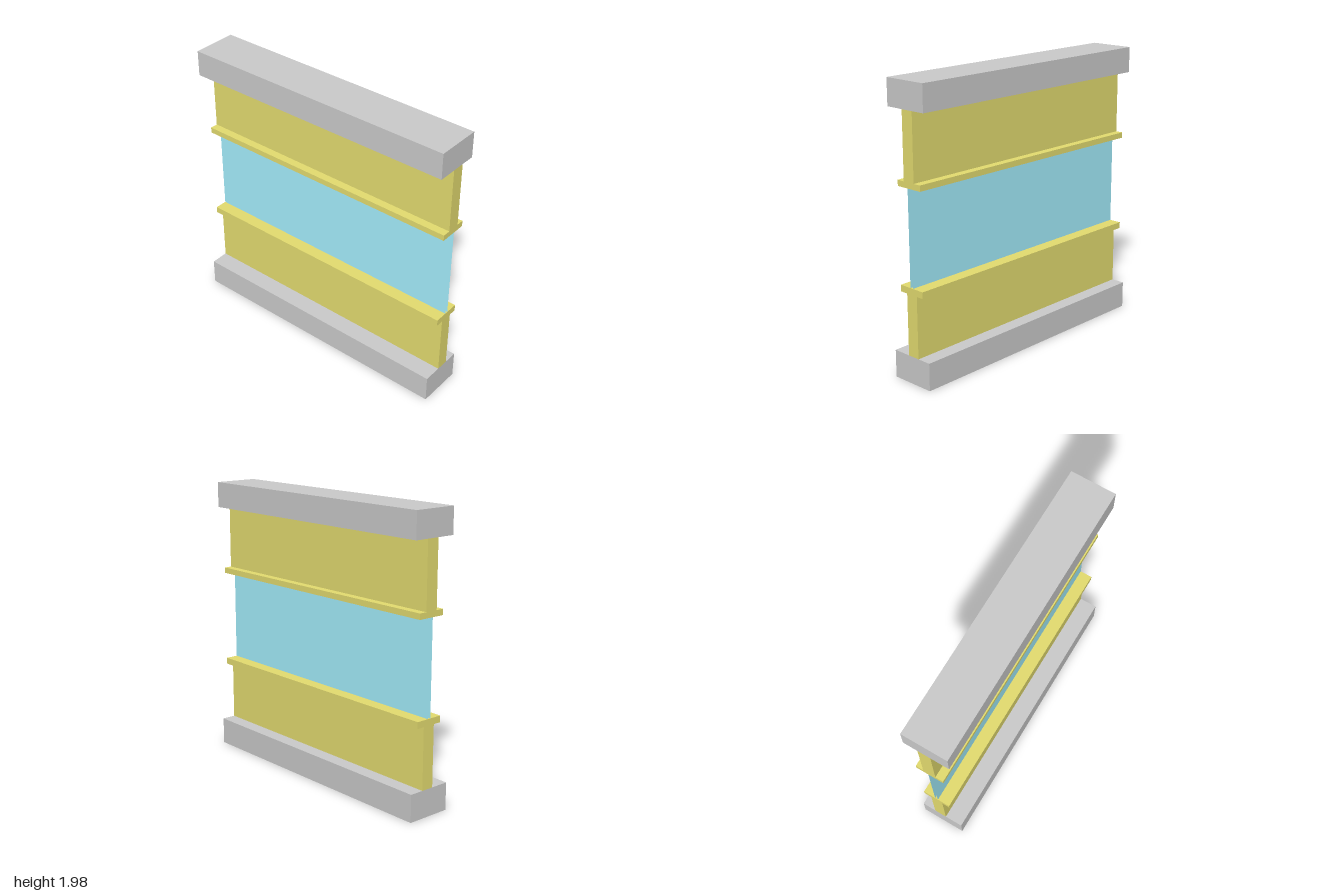
import * as THREE from 'three';

const LENGTH = 2;
const grey = new THREE.MeshStandardMaterial({ color: 0xcccccc });
const yellow = new THREE.MeshStandardMaterial({ color: 0xe5dd70 });
const blue = new THREE.MeshStandardMaterial({ color: 0xa5f0ff, side: THREE.DoubleSide });

// Straight bar along z with the given cross-section (points counter-clockwise)
function bar(name, points, material) {
  const shape = new THREE.Shape(points.map(([x, y]) => new THREE.Vector2(x, y)));
  const geometry = new THREE.ExtrudeGeometry(shape, { depth: LENGTH, bevelEnabled: false });
  geometry.translate(0, 0, -LENGTH / 2);
  const mesh = new THREE.Mesh(geometry, material);
  mesh.name = name;
  return mesh;
}

// Rectangular cross-section
const rect = (x0, x1, y0, y1) => [[x0, y0], [x1, y0], [x1, y1], [x0, y1]];

// T cross-section: web from yEnd to yNeck, flange from yNeck to yTip
const tee = (yEnd, yNeck, yTip) => [
  [-0.03, yEnd], [0.06, yEnd], [0.06, yNeck], [0.115, yNeck],
  [0.115, yTip], [-0.087, yTip], [-0.087, yNeck], [-0.03, yNeck],
];

export function createModel() {
  const group = new THREE.Group();
  group.name = 'glazedPanel';

  // Slabs at the bottom and top
  group.add(bar('bottomSlab', rect(-0.16, 0.16, 0, 0.19), grey));
  group.add(bar('topSlab', rect(-0.16, 0.16, 1.8, 1.98), grey));

  // T-shaped wall sections facing each other
  group.add(bar('lowerWall', tee(0.19, 0.615, 0.66), yellow));
  group.add(bar('upperWall', tee(1.8, 1.35, 1.31), yellow));

  // Two thin panes with open ends between the flanges
  const pane = new THREE.PlaneGeometry(LENGTH, 0.65);
  for (const [name, x, turn] of [['leftPane', 0.025, 1], ['rightPane', 0.003, -1]]) {
    const mesh = new THREE.Mesh(pane, blue);
    mesh.name = name;
    mesh.rotation.y = turn * Math.PI / 2;
    mesh.position.set(x, 0.985, 0);
    group.add(mesh);
  }
  return group;
}
